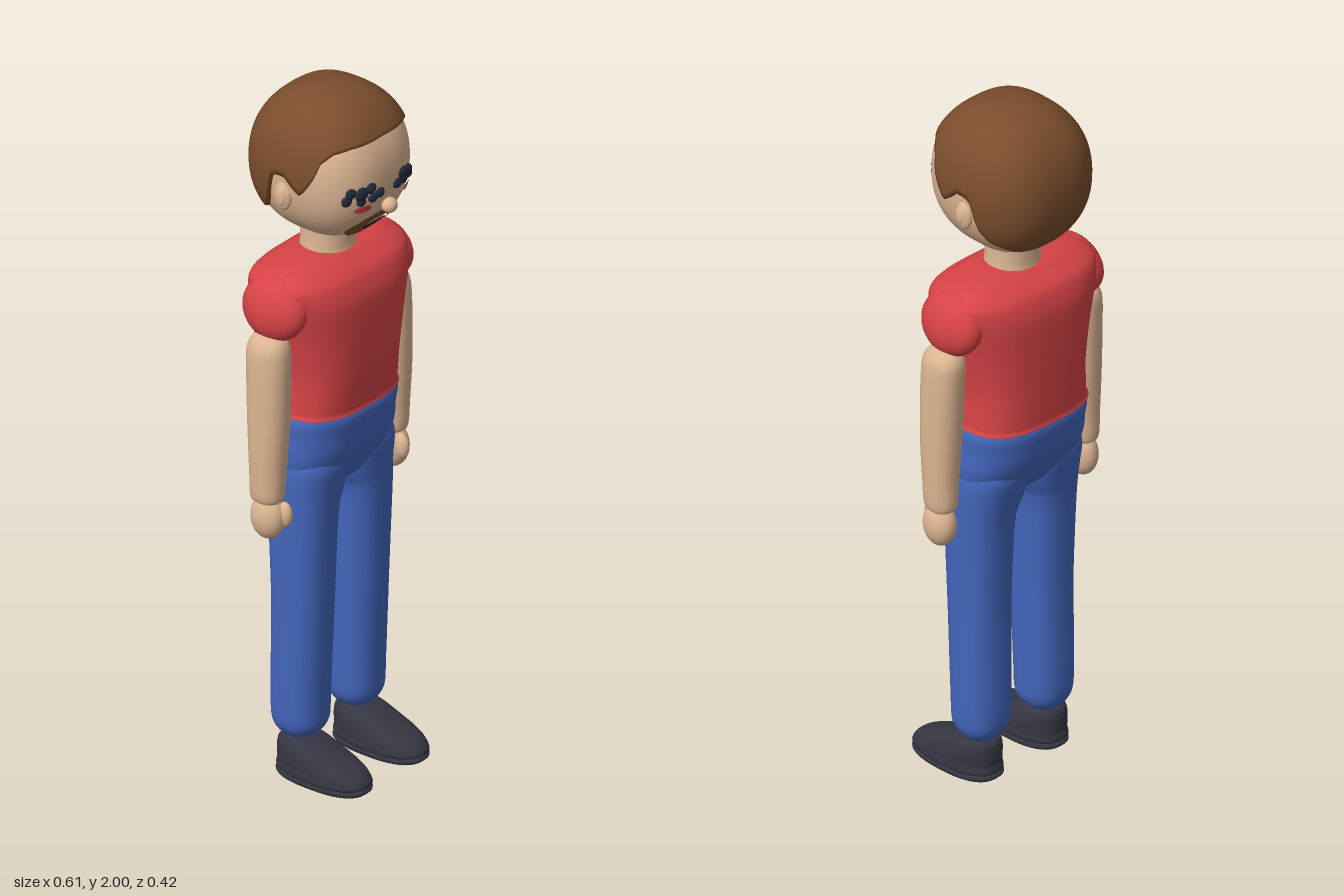
import * as THREE from 'three';

const material = (name, color) => {
  const m = new THREE.MeshStandardMaterial({ color });
  m.name = name;
  return m;
};

const signedPow = (v, e) => Math.sign(v) * Math.abs(v) ** e;

// Superellipse point in the xz plane, a = 0 faces the front
const ringPoint = (a, n, rx, rz) => [
  rx * signedPow(Math.sin(a), 2 / n),
  rz * signedPow(Math.cos(a), 2 / n),
];

// Surface from a point rule: rows run upward, columns wrap around
function wrapSurface(rows, cols, point) {
  const pos = [], index = [];
  for (let j = 0; j <= rows; j++)
    for (let i = 0; i < cols; i++) pos.push(...point(j, (i / cols) * Math.PI * 2));
  for (let j = 0; j < rows; j++)
    for (let i = 0; i < cols; i++) {
      const a = j * cols + i, b = j * cols + ((i + 1) % cols);
      index.push(a, b, a + cols, b, b + cols, a + cols);
    }
  const g = new THREE.BufferGeometry();
  g.setAttribute('position', new THREE.Float32BufferAttribute(pos, 3));
  g.setIndex(index);
  g.computeVertexNormals();
  return g;
}

// Smooth loft through sections [y, left x, right x, front z, back z], bottom to top
function loft(sections, n = 2.2, cols = 40) {
  const centre = new THREE.CatmullRomCurve3(
    sections.map(([y, x0, x1, zf, zb]) => new THREE.Vector3((x0 + x1) / 2, y, (zf + zb) / 2)), false, 'catmullrom', 0.4);
  const radius = new THREE.CatmullRomCurve3(
    sections.map(([, x0, x1, zf, zb]) => new THREE.Vector3(Math.abs(x1 - x0) / 2, 0, (zf - zb) / 2)), false, 'catmullrom', 0.4);
  const rows = (sections.length - 1) * 5;
  return wrapSurface(rows, cols, (j, a) => {
    const c = centre.getPoint(j / rows), r = radius.getPoint(j / rows);
    const [x, z] = ringPoint(a, n, Math.max(r.x, 0), Math.max(r.z, 0));
    return [c.x + x, c.y, c.z + z];
  });
}

// Head: a softly squared ellipsoid
const HEAD = { y: 1.785, z: -0.01, rx: 0.184, ry: 0.21, rz: 0.196, p: 2.2, n: 2.6 };
const headPoint = (phi, a, rx, ry, rz) => {
  const k = Math.abs(Math.cos(phi)) ** (2 / HEAD.p);
  const [x, z] = ringPoint(a, HEAD.n, rx * k, rz * k);
  return [x, HEAD.y + ry * signedPow(Math.sin(phi), 2 / HEAD.p), HEAD.z + z];
};
const headFront = (x, y) => {
  const k = (1 - Math.min(1, Math.abs((y - HEAD.y) / HEAD.ry)) ** HEAD.p) ** (1 / HEAD.p);
  const d = k ** HEAD.n - (Math.abs(x) / HEAD.rx) ** HEAD.n;
  return HEAD.z + HEAD.rz * Math.max(0, d) ** (1 / HEAD.n);
};

// Hairline height against angle from the front
const HAIRLINE = [
  [0, 1.9], [0.6, 1.895], [0.9, 1.885], [1.1, 1.86], [1.22, 1.81], [1.4, 1.755],
  [1.5, 1.77], [1.58, 1.8], [1.72, 1.79], [1.82, 1.71], [1.97, 1.67], [2.5, 1.63], [3.15, 1.62],
];
function hairline(a) {
  const t = a > Math.PI ? 2 * Math.PI - a : a;
  const i = HAIRLINE.findIndex(([x]) => x > t);
  const [x0, y0] = HAIRLINE[i - 1], [x1, y1] = HAIRLINE[i];
  return y0 + ((y1 - y0) * (t - x0)) / (x1 - x0);
}

export function createModel() {
  const root = new THREE.Group();
  root.name = 'standingMan';
  const skin = material('skin', 0xdcb592);
  const red = material('shirtRed', 0xd64345);
  const blue = material('trouserBlue', 0x4366bd);
  const brown = material('hairBrown', 0x7a4d2c);
  const dark = material('shoeDark', 0x363643);
  const navy = material('eyeNavy', 0x22283a);

  const add = (name, geometry, mat) => {
    const mesh = new THREE.Mesh(geometry, mat);
    mesh.name = name;
    root.add(mesh);
    return mesh;
  };
  const ball = (name, mat, [x, y, z], [rx, ry, rz]) => {
    const mesh = add(name, new THREE.SphereGeometry(1, 28, 20), mat);
    mesh.position.set(x, y, z);
    mesh.scale.set(rx, ry, rz);
    return mesh;
  };
  // Thin painted ring or disc that follows the face; taper narrows its lower half
  const facePatch = (name, mat, x, y, rx, ry, inner = 0, lift = 0.006, taper = 0) => {
    const g = new THREE.RingGeometry(inner, 1, 40, 5);
    const p = g.attributes.position;
    for (let i = 0; i < p.count; i++) {
      const v = p.getY(i), px = x + p.getX(i) * rx * (1 + taper * Math.min(v, 0)), py = y + v * ry;
      p.setXYZ(i, px, py, headFront(px, py) + lift);
    }
    g.computeVertexNormals();
    return add(name, g, mat);
  };

  // Head and neck
  add('head', wrapSurface(36, 64, (j, a) =>
    headPoint((j / 36 - 0.5) * Math.PI, a, HEAD.rx, HEAD.ry, HEAD.rz)), skin);
  add('neck', loft([
    [1.48, -0.085, 0.085, 0.06, -0.1], [1.53, -0.075, 0.075, 0.05, -0.09],
    [1.58, -0.072, 0.072, 0.05, -0.09], [1.64, -0.07, 0.07, 0.05, -0.095], [1.66, 0, 0, -0.02, -0.02],
  ]), skin);

  // Hair shell, its lower edge tucked into the head
  add('hair', wrapSurface(26, 120, (j, a) => {
    const v = (hairline(a) - HEAD.y) / 0.215;
    const start = Math.asin(signedPow(v, HEAD.p / 2));
    const phi = start + (Math.PI / 2 - start) * Math.max(0, j - 1) / 25;
    const tuck = j === 0 ? 0.9 : 1;
    return headPoint(phi, a, 0.196 * tuck, 0.215, 0.202 * tuck);
  }), brown);

  // Face
  ball('nose', skin, [0, 1.7, 0.187], [0.023, 0.021, 0.021]);
  const eyeLumps = [
    [0.035, 1.75, 0.017], [0.06, 1.772, 0.019], [0.085, 1.765, 0.02], [0.097, 1.748, 0.014], [0.062, 1.752, 0.018],
    [-0.037, 1.752, 0.017], [-0.06, 1.745, 0.016], [-0.068, 1.775, 0.018], [-0.095, 1.765, 0.024],
    [-0.122, 1.772, 0.018], [-0.13, 1.75, 0.018], [-0.095, 1.742, 0.015],
  ];
  for (const [x, y, r] of eyeLumps)
    ball('eyeLash', navy, [x, y, headFront(x, y)], [r, r * 0.85, 0.011]);
  facePatch('beard', brown, -0.016, 1.642, 0.088, 0.05, 0.52, 0.009, 0.3);
  facePatch('mouth', navy, -0.014, 1.638, 0.05, 0.014, 0, 0.006);
  facePatch('lip', brown, -0.014, 1.62, 0.035, 0.008, 0, 0.007);

  // Shirt body
  add('shirt', loft([
    [1.085, 0, 0, -0.025, -0.025], [1.085, -0.184, 0.184, 0.115, -0.165], [1.1, -0.19, 0.19, 0.123, -0.172],
    [1.2, -0.187, 0.187, 0.135, -0.175], [1.32, -0.205, 0.205, 0.14, -0.177],
    [1.42, -0.23, 0.23, 0.138, -0.175], [1.48, -0.242, 0.242, 0.115, -0.155],
    [1.51, -0.2, 0.2, 0.075, -0.115], [1.525, -0.12, 0.12, 0.045, -0.085], [1.53, 0, 0, -0.02, -0.02],
  ], 2.9, 56), red);

  // Trouser seat
  add('trouserSeat', loft([
    [0.84, 0, 0, -0.015, -0.015], [0.85, -0.13, 0.13, 0.05, -0.075], [0.9, -0.188, 0.188, 0.085, -0.12],
    [0.96, -0.203, 0.203, 0.108, -0.152], [1.02, -0.2, 0.2, 0.12, -0.168],
    [1.095, -0.187, 0.187, 0.12, -0.168], [1.1, 0, 0, -0.02, -0.02],
  ], 2.5, 56), blue);

  for (const s of [1, -1]) {
    const side = (rows, ...rest) =>
      loft(rows.map(([y, a, b, zf, zb]) => [y, a * s, b * s, zf, zb]), ...rest);

    ball('ear', skin, [0.181 * s, 1.73, -0.025], [0.016, 0.041, 0.027]);
    ball('innerEar', skin, [0.192 * s, 1.732, -0.022], [0.008, 0.026, 0.015]);
    facePatch('cheekMark', red, 0.09 * s, 1.718, 0.024, 0.011, 0, 0.007);

    // Sleeve and arm
    const sleeve = ball('sleeve', red, [0.218 * s, 1.418, -0.02], [0.06, 0.09, 0.1]);
    sleeve.rotation.z = 0.22 * s;
    add('arm', side([
      [0.862, 0.258, 0.258, -0.015, -0.015], [0.87, 0.22, 0.294, 0.028, -0.06],
      [0.95, 0.212, 0.301, 0.035, -0.064], [1.08, 0.203, 0.305, 0.043, -0.07],
      [1.22, 0.198, 0.304, 0.045, -0.076], [1.31, 0.198, 0.299, 0.042, -0.078],
      [1.345, 0.21, 0.28, 0.025, -0.06], [1.355, 0.245, 0.245, -0.02, -0.02],
    ]), skin);
    ball('hand', skin, [0.258 * s, 0.817, -0.013], [0.04, 0.064, 0.05]);
    ball('thumb', skin, [0.243 * s, 0.83, 0.032], [0.017, 0.036, 0.022]);

    // Trouser leg
    add('trouserLeg', side([
      [0.112, 0.113, 0.113, -0.02, -0.02], [0.12, 0.07, 0.158, 0.025, -0.065],
      [0.16, 0.043, 0.185, 0.052, -0.09], [0.25, 0.038, 0.19, 0.056, -0.094],
      [0.5, 0.034, 0.192, 0.066, -0.091], [0.72, 0.028, 0.198, 0.074, -0.098],
      [0.8, 0.02, 0.2, 0.078, -0.105], [0.85, 0, 0.201, 0.082, -0.115],
      [0.93, -0.01, 0.2, 0.09, -0.13], [1.0, 0.03, 0.17, 0.06, -0.11],
    ], 2.4), blue);

    // Shoe and sole
    add('sole', side([
      [0, 0.118, 0.118, 0.06, 0.06], [0, 0.052, 0.184, 0.193, -0.068],
      [0.02, 0.05, 0.186, 0.196, -0.07], [0.022, 0.118, 0.118, 0.06, 0.06],
    ], 2.5), dark);
    add('shoe', side([
      [0.016, 0.118, 0.118, 0.06, 0.06], [0.018, 0.048, 0.188, 0.2, -0.072],
      [0.045, 0.046, 0.19, 0.198, -0.077], [0.065, 0.048, 0.188, 0.165, -0.078],
      [0.09, 0.054, 0.182, 0.098, -0.076], [0.112, 0.068, 0.168, 0.045, -0.066],
      [0.125, 0.118, 0.118, -0.015, -0.015],
    ], 2.4), dark);
  }
  return root;
}
